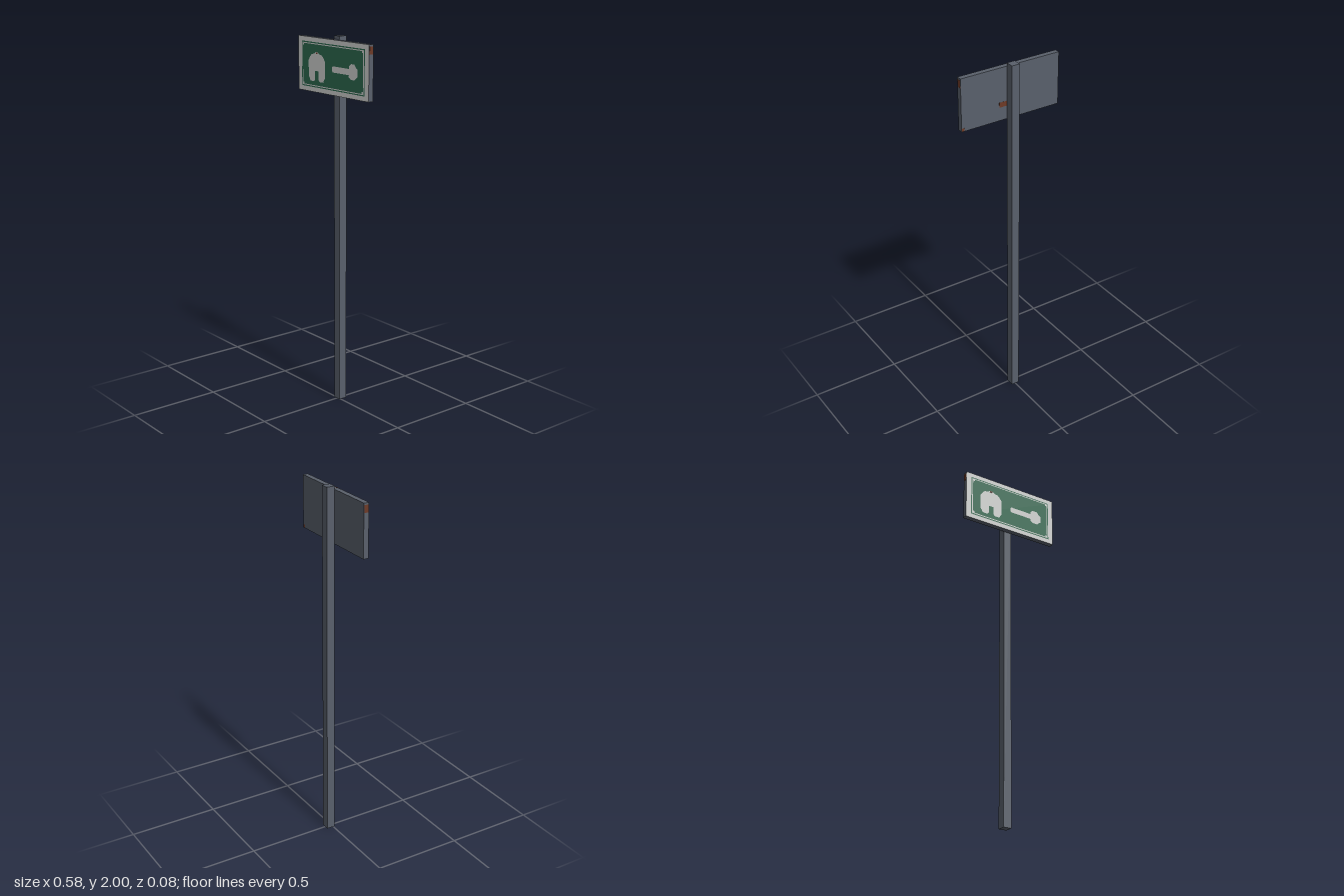
import * as THREE from 'three';

const mat = (name, color, extra = {}) => Object.assign(new THREE.MeshStandardMaterial({ color, ...extra }), { name });

export function createModel() {
  const steel = mat('steel grey', 0x59606b);
  const light = mat('off white', 0xd0d2d0);
  const green = mat('sign green', 0x2c6a4f);
  const rust = mat('rust', 0x6e3a26);
  const model = new THREE.Group();
  model.name = 'signpost';

  const add = (name, geometry, material, x, y, z) => {
    const mesh = new THREE.Mesh(geometry, material);
    mesh.name = name;
    mesh.position.set(x, y, z);
    model.add(mesh);
    return mesh;
  };
  const box = (name, material, w, h, d, x, y, z) =>
    add(name, new THREE.BoxGeometry(w, h, d), material, x, y, z);

  const cy = 1.839, front = 0.0365;

  // Square post and the board fixed to its front; the board face is off white
  box('post', steel, 0.046, 2, 0.046, 0, 1, -0.0155);
  box('board', [steel, steel, steel, steel, light, steel], 0.578, 0.286, 0.029, 0, cy, 0.022);

  // Layered face: green panel, thin light outline, green field
  const layer = (name, material, w, h, level) =>
    add(name, new THREE.PlaneGeometry(w, h), material, 0, cy, front + level * 0.0006);
  layer('greenPanel', green, 0.516, 0.236, 1);
  layer('outline', light, 0.504, 0.224, 2);
  layer('greenField', green, 0.494, 0.214, 3);

  // Corner notches of the outline
  for (const sx of [-1, 1]) for (const sy of [-1, 1])
    add('outlineCorner', new THREE.PlaneGeometry(0.01, 0.01), light, sx * 0.242, cy + sy * 0.102, front + 0.0024);

  // Shelter pictogram: a stepped dome on two legs, mirrored about its centre
  const half = [
    [0.015, 1.808], [0.015, 1.764], [0.024, 1.753], [0.055, 1.753], [0.06, 1.766], [0.069, 1.776],
    [0.069, 1.862], [0.058, 1.878], [0.044, 1.893], [0.02, 1.898], [0.009, 1.907],
  ];
  const outline = [...half, ...half.map(([x, y]) => [-x, y]).reverse()];
  const shelter = new THREE.Shape(outline.map(([x, y]) => new THREE.Vector2(x, y)));
  add('shelterSymbol', new THREE.ShapeGeometry(shelter), light, -0.129, 0, front + 0.0024);

  // Pointer pictogram: bar with a rounded head
  const pointer = new THREE.Shape([
    [0, 1.821], [0.006, 1.815], [0.135, 1.815], [0.135, 1.804], [0.152, 1.793], [0.18, 1.793],
    [0.19, 1.803], [0.205, 1.813], [0.205, 1.849], [0.19, 1.859], [0.18, 1.873], [0.152, 1.873],
    [0.135, 1.86], [0.135, 1.847], [0.006, 1.847], [0, 1.841],
  ].map(([x, y]) => new THREE.Vector2(x, y)));
  add('pointerSymbol', new THREE.ShapeGeometry(pointer), light, 0, 0, front + 0.0024);

  // Small rust patches, as thin plates
  for (const s of [-1, 1])
    box('sideRust', rust, 0.001, 0.04, 0.022, s * 0.289, 1.952, 0.021);
  box('topRust', rust, 0.015, 0.001, 0.006, 0, 1.982, 0.033);
  box('backRust', rust, 0.045, 0.027, 0.001, 0.046, 1.782, 0.0075);
  box('cornerRust', rust, 0.016, 0.016, 0.001, 0.28, 1.706, 0.0075);
  box('symbolRust', rust, 0.014, 0.008, 0.001, -0.129, 1.902, front + 0.0026);

  return model;
}
